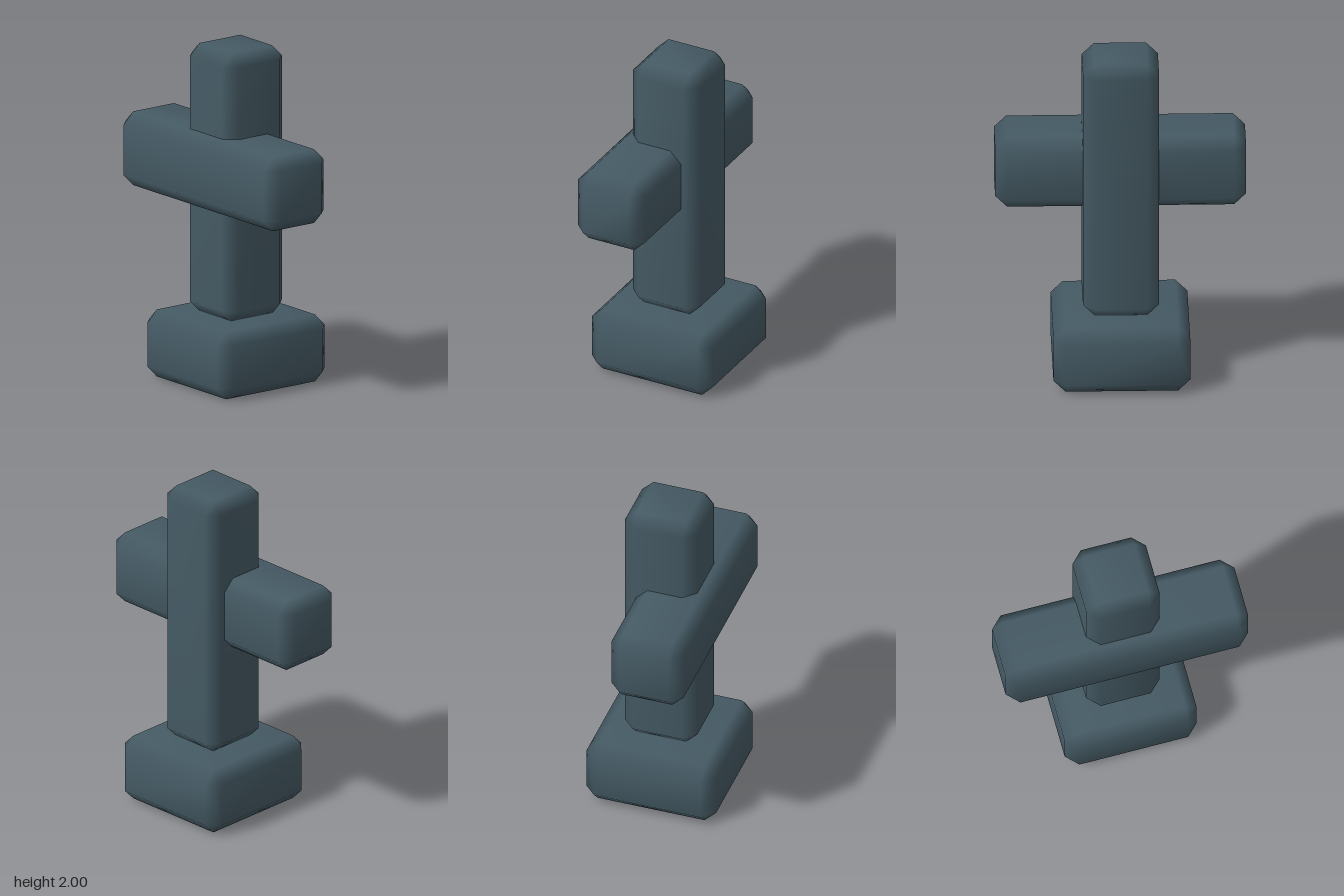
import * as THREE from 'three';
import { ConvexGeometry } from 'three/addons/geometries/ConvexGeometry.js';
import { mergeVertices } from 'three/addons/utils/BufferGeometryUtils.js';

const BEVEL = 0.07;

// Box with one flat bevel on every edge and corner, shaded smoothly
function beveledBox(w, h, d) {
  const points = [];
  for (const x of [-1, 1]) for (const y of [-1, 1]) for (const z of [-1, 1]) {
    // each corner becomes three points, one lying on each adjoining face
    for (let axis = 0; axis < 3; axis++) {
      const inset = [0, 1, 2].map(i => (i === axis ? 0 : BEVEL));
      points.push(new THREE.Vector3(
        x * (w / 2 - inset[0]), y * (h / 2 - inset[1]), z * (d / 2 - inset[2])));
    }
  }
  const hull = new ConvexGeometry(points);
  hull.deleteAttribute('normal');
  const geometry = mergeVertices(hull, 1e-4);
  geometry.computeVertexNormals();
  return geometry;
}

export function createModel() {
  const group = new THREE.Group();
  group.name = 'crossMarker';
  const slate = new THREE.MeshStandardMaterial({ color: 0x455a64 });
  slate.name = 'slate';

  const addBlock = (name, size, position) => {
    const mesh = new THREE.Mesh(beveledBox(...size), slate);
    mesh.name = name;
    mesh.position.set(...position);
    group.add(mesh);
  };

  addBlock('base', [0.79, 0.4, 0.79], [0, 0.2, 0]);
  addBlock('post', [0.44, 1.6, 0.44], [0, 1.2, 0]);
  // the crossbar sits slightly forward of the post
  addBlock('crossbar', [1.45, 0.44, 0.44], [0, 1.28, 0.09]);

  return group;
}
